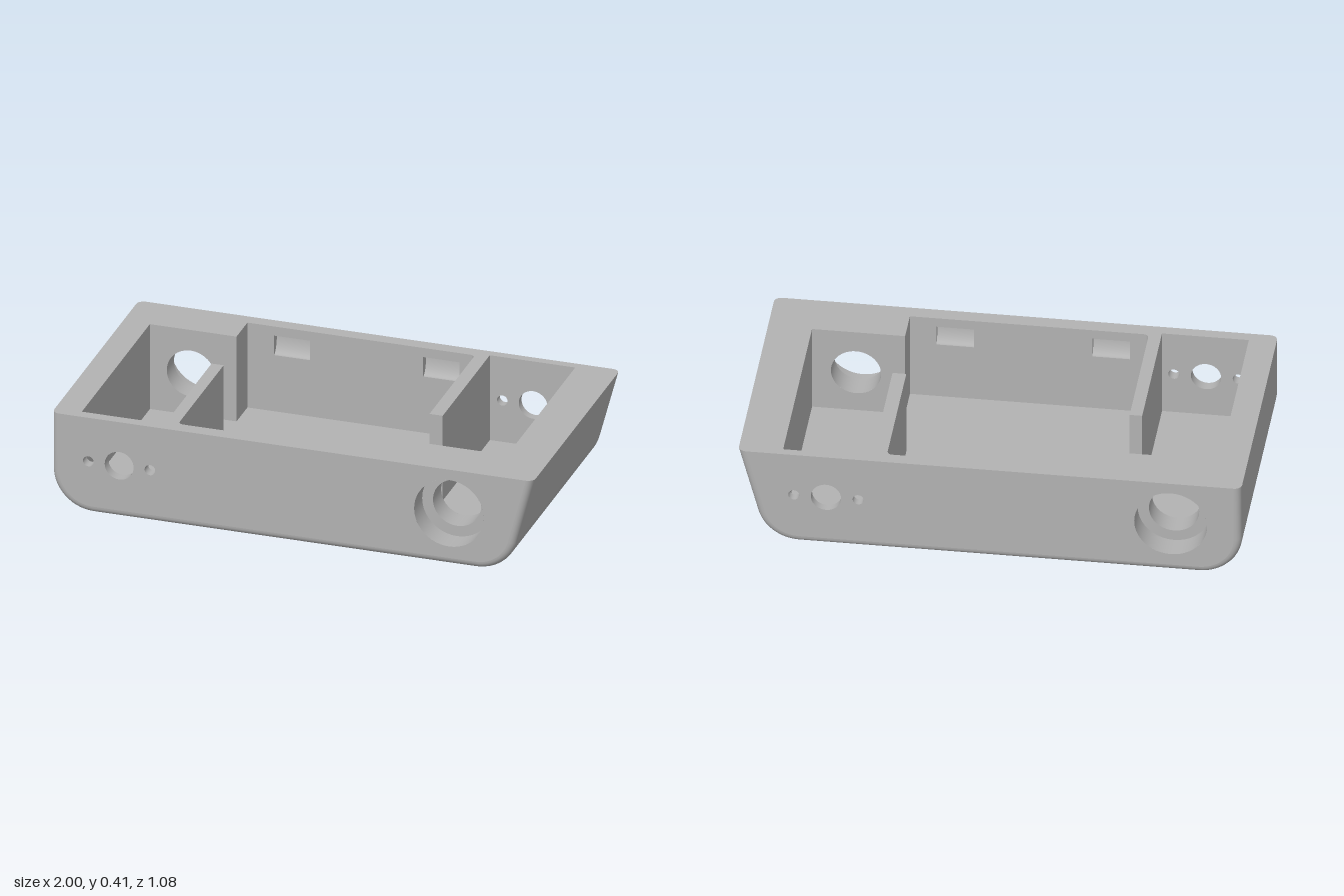
import * as THREE from 'three';

const H = 0.415, FLOOR = 0.045, D = 0.54;      // height, cavity floor, half depth
const FILLET = 0.03, R = 0.17, SLANT = Math.PI / 12;
const PORT_Y = 0.225, SOCKET_R = 0.145, BORE_R = 0.1, HOLE_R = 0.06, SCREW_R = 0.022, SCREW_X = 0.128;
const PORTS = [                                 // socket side, inner faces of both walls
  { x: 0.65, side: 1, socketZ: 0.34, holeZ: -0.505 },
  { x: -0.72, side: -1, socketZ: -0.35, holeZ: 0.495 },
];
const CLIPS = [-0.345, 0.275], CLIP_W = 0.15, CLIP_TOP = 0.375, CLIP_H = 0.085, CLIP_D = 0.038;

export function createModel() {
  const group = new THREE.Group();
  const grey = new THREE.MeshStandardMaterial({ color: 0xb2b2b2, side: THREE.DoubleSide });
  grey.name = 'grey plastic';
  const add = (name, geometry, parent = group) => {
    const mesh = new THREE.Mesh(geometry, grey);
    mesh.name = name;
    parent.add(mesh);
    return mesh;
  };
  const circle = (x, y, r) => new THREE.Path().absarc(x, y, r, 0, Math.PI * 2, true);

  // Side profile: upright left end, slanted right end, rounded lower corners
  const profile = (inset) => {
    const c = Math.cos(SLANT), s = Math.sin(SLANT), n = 14;
    const cx = (c - s * H - R + s * R) / c;
    const pts = [new THREE.Vector2(-1 + inset, H)];
    const arc = (x, from, to) => {
      for (let i = 0; i <= n; i++) {
        const a = from + (to - from) * i / n;
        pts.push(new THREE.Vector2(x + (R - inset) * Math.cos(a), R + (R - inset) * Math.sin(a)));
      }
    };
    arc(-1 + R, Math.PI, Math.PI * 1.5);
    arc(cx, -Math.PI / 2, -SLANT);
    pts.push(new THREE.Vector2(1 - inset / c, H));
    return pts;
  };

  // Outer skin lofted from front to back with filleted edges
  const rings = [];
  for (const side of [1, -1]) {
    for (let k = 0; k <= 6; k++) {
      const a = (side > 0 ? 6 - k : k) / 6 * Math.PI / 2;
      rings.push({
        z: side * (D - FILLET + FILLET * Math.sin(a)),
        pts: profile(FILLET * (1 - Math.cos(a))),
      });
    }
  }
  const pos = [], index = [], n = rings[0].pts.length;
  rings.forEach(({ z, pts }, j) => pts.forEach((p, i) => {
    pos.push(p.x, p.y, z);
    if (j < rings.length - 1 && i < n - 1) {
      const a = j * n + i, b = a + 1, c = a + n, d = c + 1;
      index.push(a, c, b, b, c, d);
    }
  }));
  const skin = new THREE.BufferGeometry();
  skin.setAttribute('position', new THREE.Float32BufferAttribute(pos, 3));
  skin.setIndex(index);
  skin.computeVertexNormals();
  add('outerSkin', skin);

  // Front and back faces with port openings
  for (const side of [1, -1]) {
    const shape = new THREE.Shape(profile(FILLET).map((p) => new THREE.Vector2(p.x * side, p.y)));
    for (const port of PORTS) {
      const x = port.x * side;
      if (port.side === side) shape.holes.push(circle(x, PORT_Y, SOCKET_R));
      else {
        shape.holes.push(circle(x, PORT_Y, HOLE_R));
        for (const s of [-1, 1]) shape.holes.push(circle(x + s * SCREW_X, PORT_Y, SCREW_R));
      }
    }
    const geo = new THREE.ShapeGeometry(shape, 24);
    if (side < 0) geo.rotateY(Math.PI);
    add(side > 0 ? 'frontFace' : 'backFace', geo.translate(0, 0, side * D));
  }

  // Cavity outline (x, z), including both dividers
  const corner = (x, z, from) => [0, 1, 2, 3, 4].map((i) => {
    const a = from + i * Math.PI / 8;
    return [x + 0.02 * Math.cos(a), z + 0.02 * Math.sin(a)];
  });
  const outline = [
    [-0.89, -0.35], [-0.53, -0.35], [-0.53, -0.485], ...corner(0.395, -0.465, -Math.PI / 2),
    [0.415, 0.08], [0.47, 0.08], [0.47, -0.505], [0.825, -0.505],
    [0.825, 0.34], [0.455, 0.34], [0.455, 0.48], ...corner(-0.475, 0.46, Math.PI / 2),
    [-0.495, -0.085], [-0.545, -0.085], [-0.545, 0.495], [-0.89, 0.495],
  ];
  const flat = outline.map(([x, z]) => new THREE.Vector2(x, -z));

  // Cavity floor and top rim
  add('cavityFloor', new THREE.ShapeGeometry(new THREE.Shape(flat)).rotateX(-Math.PI / 2).translate(0, FLOOR, 0));
  const rim = new THREE.Shape([
    ...rings.map((r) => new THREE.Vector2(r.pts[0].x, -r.z)),
    ...rings.map((r) => new THREE.Vector2(r.pts[n - 1].x, -r.z)).reverse(),
  ]);
  rim.holes.push(new THREE.Path(flat));
  add('topRim', new THREE.ShapeGeometry(rim).rotateX(-Math.PI / 2).translate(0, H, 0));

  // Cavity walls, cut for ports and clip recesses
  const walls = new THREE.Group();
  walls.name = 'cavityWalls';
  group.add(walls);
  outline.forEach(([ax, az], i) => {
    const [bx, bz] = outline[(i + 1) % outline.length];
    const len = Math.hypot(bx - ax, bz - az), dir = Math.sign(bx - ax);
    const shape = new THREE.Shape([[0, FLOOR], [len, FLOOR], [len, H], [0, H]].map((p) => new THREE.Vector2(...p)));
    if (az === bz && len > 0.3) {
      const u = (x) => (x - ax) * dir;
      for (const port of PORTS) {
        if (az === port.socketZ) shape.holes.push(circle(u(port.x), PORT_Y, BORE_R));
        if (az === port.holeZ) {
          shape.holes.push(circle(u(port.x), PORT_Y, HOLE_R));
          for (const s of [-1, 1]) shape.holes.push(circle(u(port.x + s * SCREW_X), PORT_Y, SCREW_R));
        }
      }
    }
    if (len > 0.9) {
      for (const x of CLIPS) {
        const c = (x - ax) * dir, w = CLIP_W / 2, low = CLIP_TOP - CLIP_H;
        shape.holes.push(new THREE.Path([[c - w, low], [c - w, CLIP_TOP], [c + w, CLIP_TOP], [c + w, low]]
          .map((p) => new THREE.Vector2(...p))));
      }
    }
    const geo = new THREE.ShapeGeometry(shape, 24);
    geo.rotateY(-Math.atan2(bz - az, bx - ax)).translate(ax, 0, az);
    add('cavityWall', geo, walls);
  });

  // Curved clip recesses in the long walls
  for (const [z, turn] of [[-0.485, 0], [0.48, Math.PI]]) {
    for (const x of CLIPS) {
      const clip = new THREE.Group();
      clip.name = 'clipRecess';
      clip.position.set(x, CLIP_TOP, z);
      clip.rotation.y = turn;
      group.add(clip);
      add('recessCurve', new THREE.CylinderGeometry(1, 1, CLIP_W, 12, 1, false, Math.PI, Math.PI / 2)
        .rotateZ(Math.PI / 2).scale(1, CLIP_H, CLIP_D), clip);
      add('recessTop', new THREE.PlaneGeometry(CLIP_W, CLIP_D).rotateX(Math.PI / 2).translate(0, 0, -CLIP_D / 2), clip);
    }
  }

  // Port bores: stepped socket on one wall, plain hole with screw holes opposite
  const bore = (name, x, r, z0, z1) => add(name,
    new THREE.CylinderGeometry(r, r, Math.abs(z1 - z0), 40, 1, true)
      .rotateX(Math.PI / 2).translate(x, PORT_Y, (z0 + z1) / 2));
  for (const { x, side, socketZ, holeZ } of PORTS) {
    const step = side * (D - 0.1);
    bore('socketBore', x, SOCKET_R, side * D, step);
    bore('innerBore', x, BORE_R, step, socketZ);
    const ring = new THREE.RingGeometry(BORE_R, SOCKET_R, 40);
    if (side < 0) ring.rotateY(Math.PI);
    add('socketStep', ring.translate(x, PORT_Y, step));
    bore('portHole', x, HOLE_R, -side * D, holeZ);
    for (const s of [-1, 1]) bore('screwHole', x + s * SCREW_X, SCREW_R, -side * D, holeZ);
  }
  return group;
}
